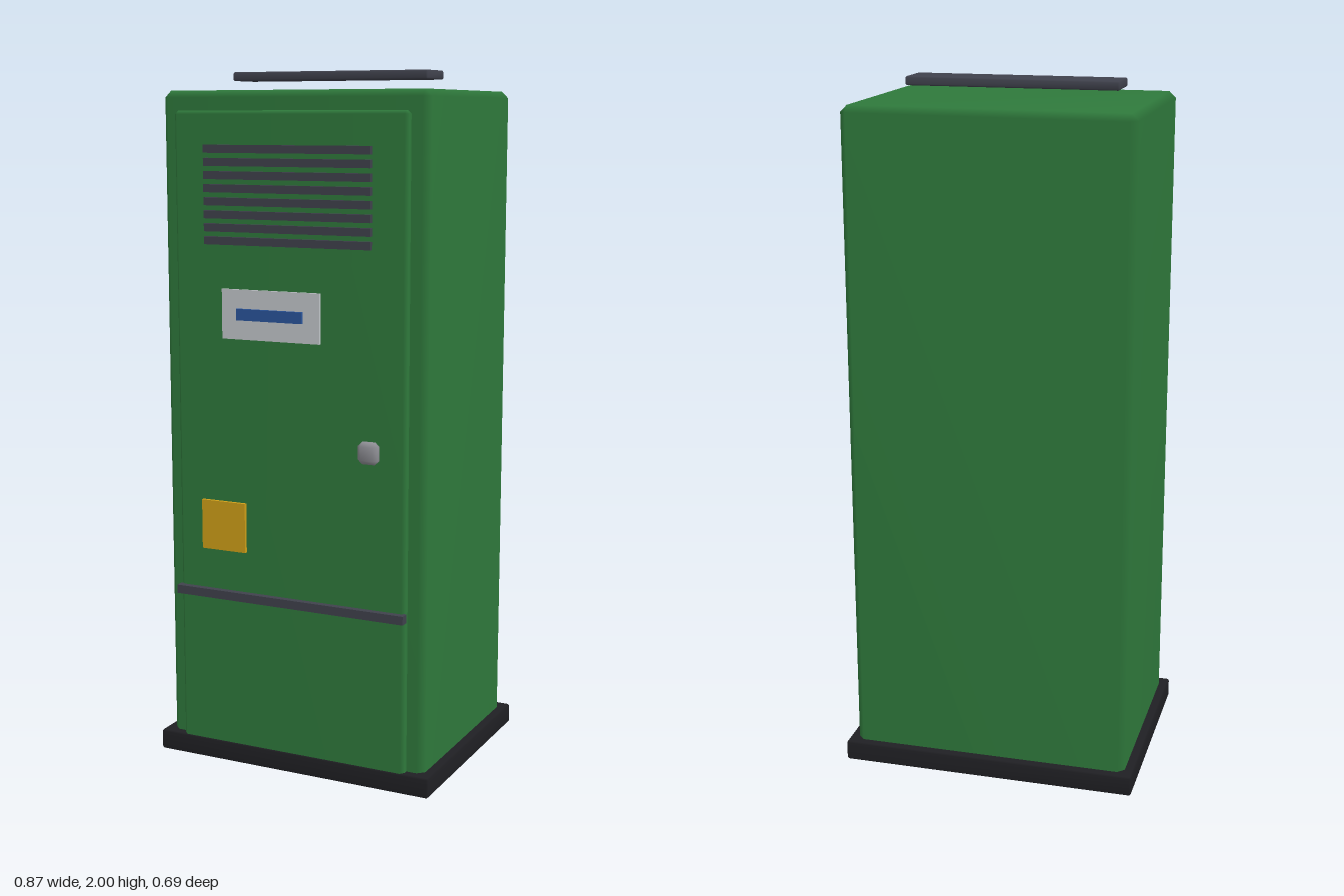
import * as THREE from 'three';
import { ConvexGeometry } from 'three/addons/geometries/ConvexGeometry.js';
import { mergeVertices } from 'three/addons/utils/BufferGeometryUtils.js';

const paint = (color) => new THREE.MeshStandardMaterial({ color });

// Box with every edge chamfered by c; normals blend softly over the chamfers
function chamferBox(w, h, d, c) {
  const half = [w / 2, h / 2, d / 2];
  const points = [];
  for (const sx of [-1, 1]) for (const sy of [-1, 1]) for (const sz of [-1, 1]) {
    for (let axis = 0; axis < 3; axis++) {
      const p = half.map((v, i) => (i === axis ? v : v - c));
      points.push(new THREE.Vector3(sx * p[0], sy * p[1], sz * p[2]));
    }
  }
  let geometry = new ConvexGeometry(points);
  geometry.deleteAttribute('normal');
  geometry = mergeVertices(geometry, 1e-5);
  geometry.computeVertexNormals();
  return geometry;
}

export function createModel() {
  const group = new THREE.Group();
  const green = paint(0x2f7a3c);
  const black = paint(0x202024);
  const slate = paint(0x40424d);

  // Adds a box given by its limits on each axis, chamfered when c > 0
  function block(name, material, [x0, x1], [y0, y1], [z0, z1], c = 0, parent = group) {
    const size = [x1 - x0, y1 - y0, z1 - z0];
    const geometry = c ? chamferBox(...size, c) : new THREE.BoxGeometry(...size);
    const mesh = new THREE.Mesh(geometry, material);
    mesh.position.set((x0 + x1) / 2, (y0 + y1) / 2, (z0 + z1) / 2);
    mesh.name = name;
    parent.add(mesh);
    return mesh;
  }

  // Cabinet shell, plinth and raised top cap
  block('cabinetBody', green, [-0.407, 0.407], [0, 1.945], [-0.32, 0.29], 0.019);
  block('plinth', black, [-0.433, 0.433], [0.003, 0.062], [-0.346, 0.316], 0.005);
  block('topCap', slate, [-0.305, 0.305], [1.975, 2], [-0.055, 0.065], 0.004);

  // Door and its trim strip
  block('door', green, [-0.357, 0.357], [0.04, 1.89], [0.27, 0.312], 0.01);
  block('trimStrip', slate, [-0.36, 0.36], [0.501, 0.526], [0.306, 0.331]);

  // Ventilation slats
  const vent = new THREE.Group();
  vent.name = 'ventSlats';
  group.add(vent);
  for (let i = 0; i < 8; i++) {
    const y = 1.786 - i * 0.036;
    block('slat', slate, [-0.255, 0.255], [y - 0.011, y + 0.011], [0.306, 0.327], 0, vent);
  }

  // Label plate with blue bar, warning plate and lock
  block('labelPlate', paint(0xc4c8cc), [-0.204, 0.1], [1.26, 1.4], [0.306, 0.32]);
  block('labelBar', paint(0x2a559c), [-0.154, 0.05], [1.315, 1.347], [0.315, 0.33]);
  block('warningPlate', paint(0xd0a018), [-0.277, -0.137], [0.645, 0.789], [0.306, 0.322]);
  block('lock', paint(0x909096), [0.223, 0.285], [0.942, 1.004], [0.312, 0.344], 0.012);

  return group;
}
